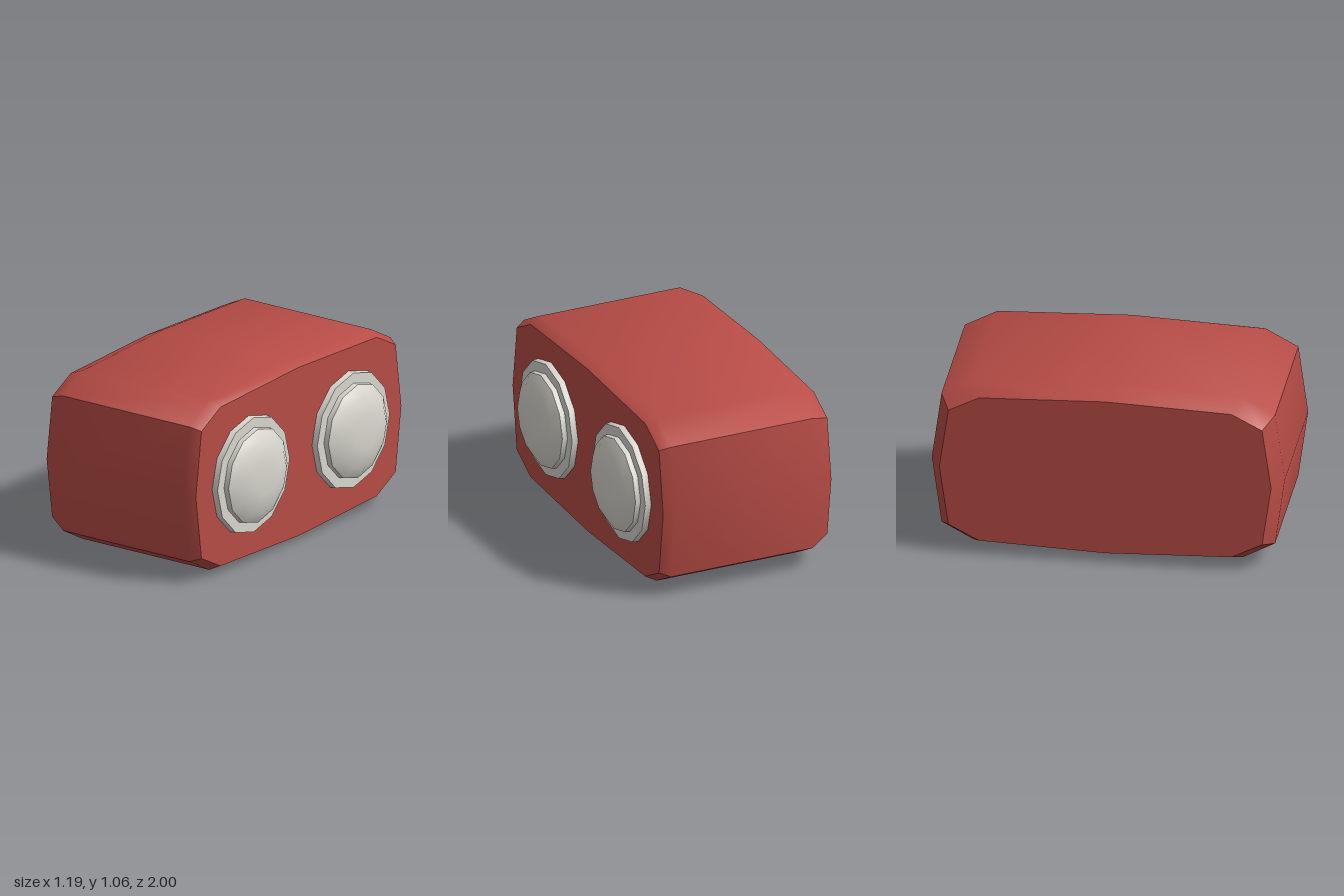
import * as THREE from 'three';
import { toCreasedNormals } from 'three/addons/utils/BufferGeometryUtils.js';

const CREASE = 0.7;
const MID_Y = 0.53;

// Half outline of the housing as [z, y measured from its middle], top to bottom
const HALF = [[0, 0.53], [0.76, 0.5], [0.945, 0.4], [1, 0], [0.945, -0.4], [0.76, -0.5], [0, -0.53]];
const OUTLINE = [...HALF, ...HALF.slice(1, -1).reverse().map(([z, y]) => [-z, y])];

// Cross-sections along x: [x, z scale, y scale], with bevels at both ends
const SECTIONS = [[-0.595, 0.94, 0.89], [-0.475, 1, 1], [0.405, 1, 1], [0.465, 0.967, 0.943]];

function housingGeometry() {
  const positions = [];
  const index = [];
  const n = OUTLINE.length;
  for (const [x, sz, sy] of SECTIONS) {
    for (const [z, y] of OUTLINE) positions.push(x, MID_Y + y * sy, z * sz);
  }
  for (let s = 0; s < SECTIONS.length - 1; s++) {
    for (let i = 0; i < n; i++) {
      const a = s * n + i;
      const b = s * n + (i + 1) % n;
      index.push(a, b, a + n, b, b + n, a + n);
    }
  }
  // Flat end caps
  const last = (SECTIONS.length - 1) * n;
  for (let i = 1; i < n - 1; i++) {
    index.push(0, i + 1, i);
    index.push(last, last + i, last + i + 1);
  }
  const geometry = new THREE.BufferGeometry();
  geometry.setAttribute('position', new THREE.Float32BufferAttribute(positions, 3));
  geometry.setIndex(index);
  return toCreasedNormals(geometry, CREASE);
}

// Twelve-sided turned part whose axis points along +x; profile is [radius, x]
function turned(profile) {
  const points = profile.map(([r, x]) => new THREE.Vector2(r, x));
  const geometry = new THREE.LatheGeometry(points, 12);
  geometry.rotateZ(-Math.PI / 2);
  return toCreasedNormals(geometry, CREASE);
}

export function createModel() {
  const model = new THREE.Group();
  model.name = 'twinLampUnit';
  const red = new THREE.MeshStandardMaterial({ color: 0xb84c46 });
  red.name = 'red';
  const paleGrey = new THREE.MeshStandardMaterial({ color: 0xd8d6ce });
  paleGrey.name = 'paleGrey';

  const add = (parent, name, geometry, material) => {
    const mesh = new THREE.Mesh(geometry, material);
    mesh.name = name;
    parent.add(mesh);
  };

  add(model, 'housing', housingGeometry(), red);

  // Two round lamps, each a rim with a domed lens
  const rim = turned([[0.345, 0.46], [0.34, 0.5], [0, 0.5]]);
  const lens = turned([[0.28, 0.495], [0.277, 0.53], [0.21, 0.575], [0.1, 0.59], [0, 0.592]]);
  for (const [name, z] of [['frontLamp', 0.47], ['rearLamp', -0.47]]) {
    const lamp = new THREE.Group();
    lamp.name = name;
    lamp.position.set(0, MID_Y + 0.002, z);
    add(lamp, 'rim', rim, paleGrey);
    add(lamp, 'lens', lens, paleGrey);
    model.add(lamp);
  }
  return model;
}
